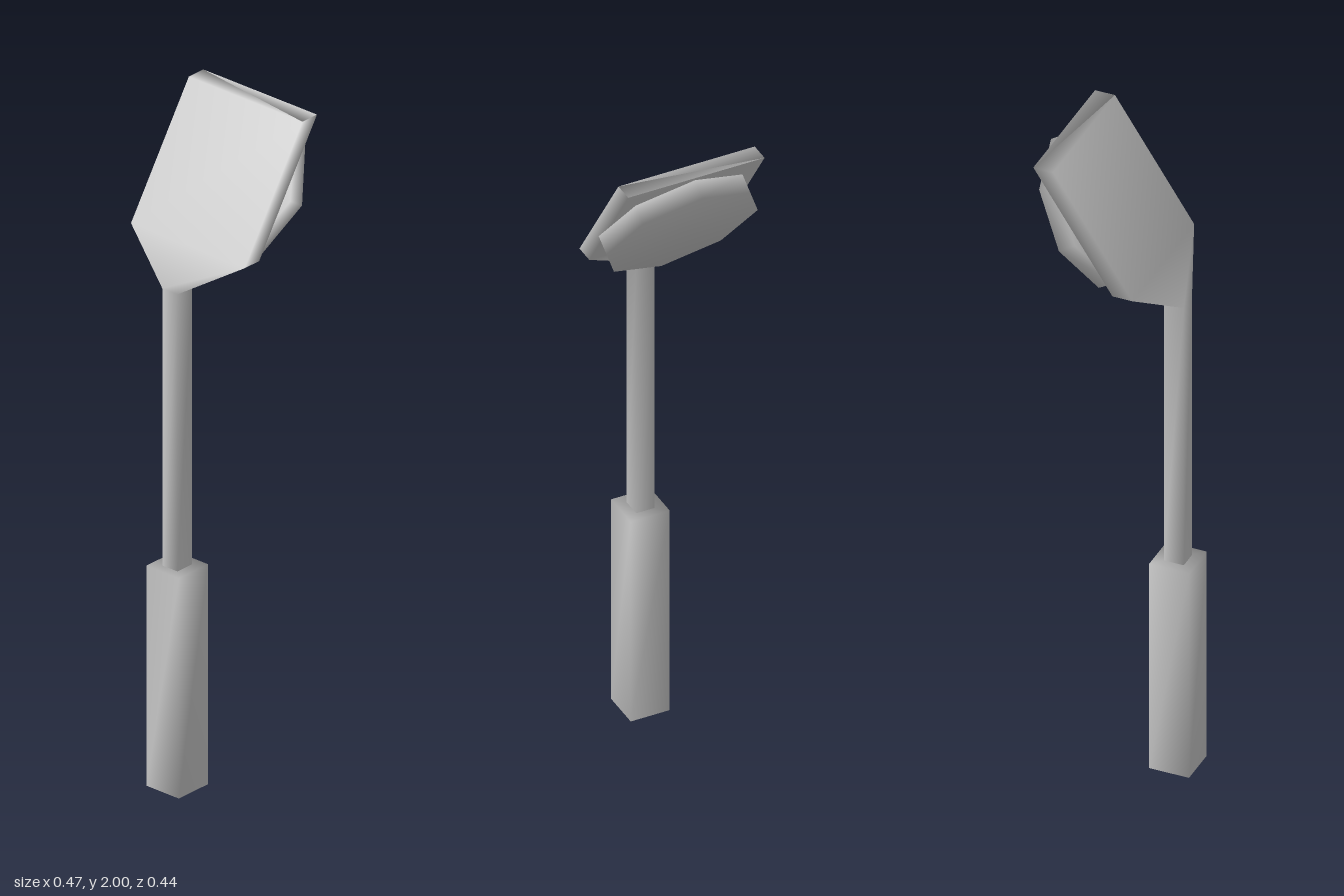
import * as THREE from 'three';
import { mergeVertices } from 'three/addons/utils/BufferGeometryUtils.js';

const material = new THREE.MeshStandardMaterial({ color: 0xcccccc });

// Skin a stack of level rectangles, each [y, centre z, half width, half depth]
function loft(sections) {
  const positions = [], index = [];
  for (const [y, z, w, d] of sections) {
    positions.push(w, y, z + d, w, y, z - d, -w, y, z - d, -w, y, z + d);
  }
  const top = (sections.length - 1) * 4;
  for (let ring = 0; ring < top; ring += 4) {
    for (let i = 0; i < 4; i++) {
      const a = ring + i, b = ring + (i + 1) % 4;
      index.push(a, b, b + 4, a, b + 4, a + 4);
    }
  }
  index.push(0, 2, 1, 0, 3, 2, top, top + 1, top + 2, top, top + 2, top + 3);
  const geometry = new THREE.BufferGeometry();
  geometry.setAttribute('position', new THREE.Float32BufferAttribute(positions, 3));
  geometry.setIndex(index);
  geometry.computeVertexNormals();
  return geometry;
}

// Weld a geometry so its normals blend across the edges
function smooth(geometry) {
  geometry.deleteAttribute('normal');
  geometry.deleteAttribute('uv');
  const welded = mergeVertices(geometry, 1e-4);
  welded.computeVertexNormals();
  return welded;
}

export function createModel() {
  const model = new THREE.Group();
  const add = (name, geometry) => {
    const mesh = new THREE.Mesh(geometry, material);
    mesh.name = name;
    model.add(mesh);
    return mesh;
  };

  // Square grip
  add('handle', loft([[0, 0.16, 0.06, 0.06], [0.675, 0.16, 0.06, 0.06]]));

  // Thin shaft that bends back and widens into the flat blade
  add('shaftAndBlade', loft([
    [0.66, 0.16, 0.028, 0.03],
    [1.525, 0.16, 0.028, 0.03],
    [1.638, 0.086, 0.21, 0.03],
    [2, -0.152, 0.21, 0.03],
  ]));

  // Eight-sided disc lying against the back of the blade
  const disc = add('disc', smooth(new THREE.CylinderGeometry(0.233, 0.233, 0.057, 8)));
  disc.position.set(0, 1.776, -0.071);
  disc.rotation.x = 0.995;

  return model;
}
